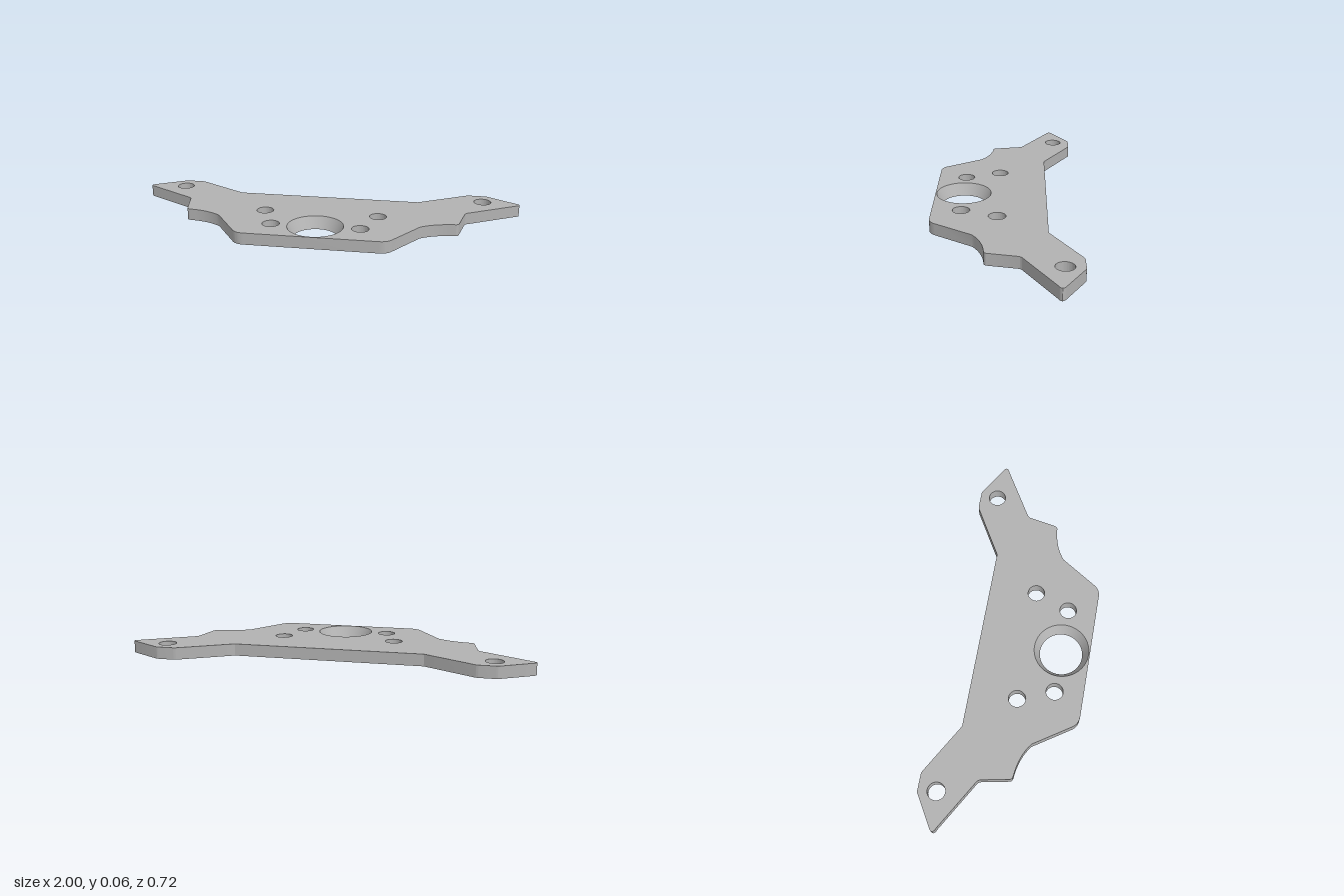
import * as THREE from 'three';
import { toCreasedNormals } from 'three/addons/utils/BufferGeometryUtils.js';

const H = 0.06; // plate thickness

// Plan outline as [x, z] points: the +x half, then its mirror image
function outline() {
  const p = new THREE.Path();
  p.moveTo(0.475, -0.21);
  p.lineTo(0.725, -0.355);
  p.quadraticCurveTo(0.733, -0.36, 0.745, -0.36);
  p.lineTo(0.82, -0.36);
  p.quadraticCurveTo(0.832, -0.36, 0.84, -0.354);
  p.lineTo(0.98, -0.271);
  p.quadraticCurveTo(1.02, -0.25, 0.98, -0.234);
  p.lineTo(0.735, -0.09);
  p.quadraticCurveTo(0.723, -0.083, 0.72, -0.07);
  p.lineTo(0.694, 0.065);
  p.quadraticCurveTo(0.692, 0.08, 0.675, 0.081);
  p.quadraticCurveTo(0.57, 0.09, 0.505, 0.142);
  p.lineTo(0.385, 0.325);
  p.quadraticCurveTo(0.365, 0.355, 0.325, 0.355);
  const half = p.getPoints(8).map(v => [v.x, v.y]);
  return [...half, ...half.map(([x, z]) => [-x, z]).reverse()];
}

// Circular loop, wound opposite to the outline so that its wall faces inward
function circle(cx, cz, r, n = 48) {
  return Array.from({ length: n }, (_, i) => {
    const t = -i / n * Math.PI * 2;
    return [cx + r * Math.cos(t), cz + r * Math.sin(t)];
  });
}

// Wall joining a top loop to a bottom loop
function wall(top, bottom = top) {
  const pos = [];
  top.forEach((a, i) => {
    const j = (i + 1) % top.length;
    const A = [a[0], H, a[1]], B = [top[j][0], H, top[j][1]];
    const C = [bottom[i][0], 0, bottom[i][1]], D = [bottom[j][0], 0, bottom[j][1]];
    pos.push(...A, ...B, ...C, ...B, ...D, ...C);
  });
  const g = new THREE.BufferGeometry();
  g.setAttribute('position', new THREE.Float32BufferAttribute(pos, 3));
  return toCreasedNormals(g, 0.5);
}

// Flat face with holes; side is -1 for the top and 1 for the underside
function face(outer, holes, side) {
  const toPoints = loop => loop.map(([x, z]) => new THREE.Vector2(x, side * z));
  const shape = new THREE.Shape(toPoints(outer));
  shape.holes = holes.map(h => new THREE.Path(toPoints(h)));
  const g = new THREE.ShapeGeometry(shape).rotateX(side * Math.PI / 2);
  return side < 0 ? g.translate(0, H, 0) : g;
}

export function createModel() {
  const group = new THREE.Group();
  group.name = 'mountingPlate';
  const metal = new THREE.MeshStandardMaterial({ color: 0xb2b2b2 });
  metal.name = 'grey metal';
  const add = (name, geometry) => {
    const mesh = new THREE.Mesh(geometry, metal);
    mesh.name = name;
    group.add(mesh);
  };

  const rim = outline();
  const boltHoles = [];
  for (const s of [1, -1]) {
    boltHoles.push(circle(s * 0.81, -0.27, 0.044));
    boltHoles.push(circle(s * 0.29, 0.032, 0.043));
    boltHoles.push(circle(s * 0.222, 0.21, 0.043));
  }
  // Large centre hole tapers towards the underside
  const boreTop = circle(0, 0.21, 0.139, 64);
  const boreBottom = circle(0, 0.21, 0.109, 64);

  add('topFace', face(rim, [...boltHoles, boreTop], -1));
  add('underside', face(rim, [...boltHoles, boreBottom], 1));
  add('outerEdge', wall(rim));
  add('taperedBore', wall(boreTop, boreBottom));
  boltHoles.forEach((h, i) => add('boltHole' + (i + 1), wall(h)));
  return group;
}
